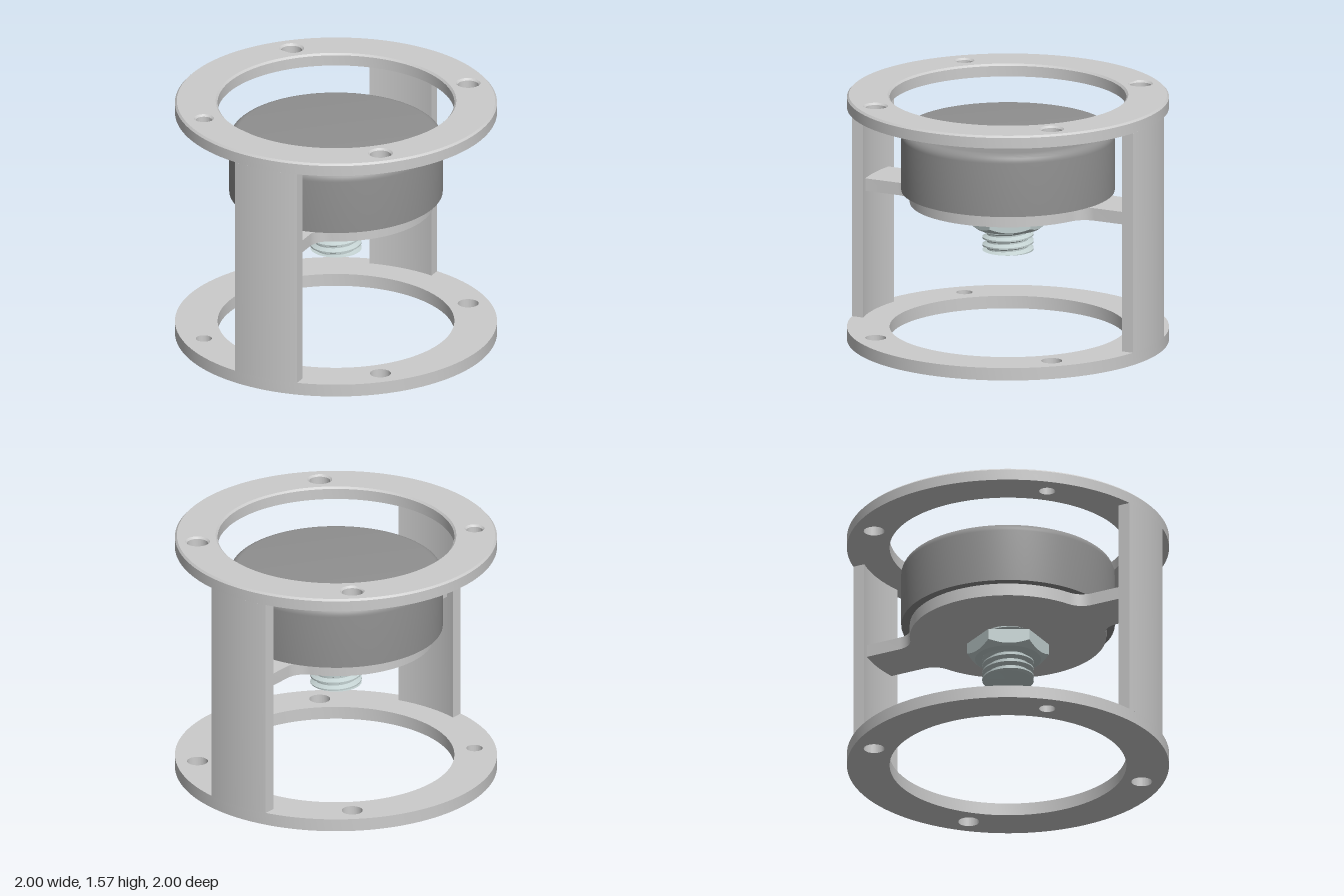
import * as THREE from 'three';
import { toCreasedNormals } from 'three/addons/utils/BufferGeometryUtils.js';

const grey = new THREE.MeshStandardMaterial({ color: 0xcccccc });
const darkGrey = new THREE.MeshStandardMaterial({ color: 0x909090 });
const steel = new THREE.MeshStandardMaterial({ color: 0xc4d2d2 });

const OUTER = 1, INNER = 0.735, HOLE_POS = 0.612;
// bolt holes in shape coordinates (shape y = -z); one is smaller
const HOLES = [[1, 1, 0.065], [-1, 1, 0.065], [1, -1, 0.065], [-1, -1, 0.05]]
  .map(([sx, sy, r]) => ({ x: sx * HOLE_POS, y: sy * HOLE_POS, r }));

function part(name, geometry, material, crease = 0.5) {
  const mesh = new THREE.Mesh(toCreasedNormals(geometry, crease), material);
  mesh.name = name;
  return mesh;
}

function circle(x, y, r) {
  return new THREE.Path().absarc(x, y, r, 0, Math.PI * 2, true);
}

// flange ring with bolt holes; chamfer breaks every upper edge
function ringGeometry(height, chamfer) {
  const shape = new THREE.Shape().absarc(0, 0, OUTER, 0, Math.PI * 2, false);
  shape.holes.push(circle(0, 0, INNER), ...HOLES.map(h => circle(h.x, h.y, h.r)));
  const geo = new THREE.ExtrudeGeometry(shape, { depth: height, steps: 2, bevelEnabled: false, curveSegments: 64 });
  const p = geo.attributes.position;
  for (let i = 0; i < p.count; i++) {
    const x = p.getX(i), y = p.getY(i), z = p.getZ(i), r = Math.hypot(x, y);
    if (Math.abs(z - height / 2) < 1e-4) p.setZ(i, height - (chamfer || height / 2));
    if (!chamfer || z < height - 1e-4) continue;
    const hole = HOLES.find(h => Math.hypot(x - h.x, y - h.y) < h.r + 0.005);
    if (hole) {
      const k = 1 + chamfer / hole.r;
      p.setXY(i, hole.x + (x - hole.x) * k, hole.y + (y - hole.y) * k);
    } else {
      const k = (r > 0.9 ? r - chamfer : r + chamfer) / r;
      p.setXY(i, x * k, y * k);
    }
  }
  return geo.rotateX(-Math.PI / 2);
}

// curved upright following the outer rim
function pillarGeometry(height) {
  const half = 0.215, inner = 0.925, mid = -Math.PI / 2;
  const a = Math.asin(half / OUTER), b = Math.asin(half / inner);
  const shape = new THREE.Shape();
  shape.absarc(0, 0, OUTER, mid - a, mid + a, false);
  shape.absarc(0, 0, inner, mid + b, mid - b, true);
  return new THREE.ExtrudeGeometry(shape, { depth: height, bevelEnabled: false, curveSegments: 16 })
    .rotateX(-Math.PI / 2);
}

// round plate with two filleted tabs reaching the uprights
function plateGeometry(height) {
  const R = 0.61, fillet = 0.13, tab = 0.16, cx = tab + fillet;
  const cy = Math.sqrt((R + fillet) ** 2 - cx * cx), phi = Math.atan2(cy, cx);
  const quarter = [];
  for (let i = 1; i <= 32; i++) {
    const t = phi * i / 32;
    quarter.push([R * Math.cos(t), R * Math.sin(t)]);
  }
  for (let i = 1; i <= 12; i++) {
    const t = phi + Math.PI - phi * i / 12;
    quarter.push([cx + fillet * Math.cos(t), cy + fillet * Math.sin(t)]);
  }
  quarter.push([tab, 0.93]);
  const half = [...quarter, ...quarter.slice().reverse().map(([x, y]) => [-x, y])];
  const all = [...half, ...half.map(([x, y]) => [-x, -y])];
  const shape = new THREE.Shape(all.map(([x, y]) => new THREE.Vector2(x, y)));
  return new THREE.ExtrudeGeometry(shape, { depth: height, bevelEnabled: false }).rotateX(-Math.PI / 2);
}

// solid of revolution from [radius, y] pairs listed bottom to top
function lathe(points, segments) {
  return new THREE.LatheGeometry(points.map(([r, y]) => new THREE.Vector2(r, y)), segments);
}

// threaded rod: a ridged lathe whose rows climb one pitch per turn
function threadGeometry(y0, y1) {
  const pitch = 0.047, root = 0.13, crest = 0.16, points = [[0, y0 - pitch * 2]];
  for (let y = y0 - pitch * 2; y < y1 + pitch; y += pitch) {
    points.push([root, y], [root, y + pitch * 0.2], [crest, y + pitch * 0.5], [crest, y + pitch * 0.7]);
  }
  const geo = lathe(points, 48), p = geo.attributes.position, rows = points.length;
  for (let i = 0; i < p.count; i++) {
    const turn = Math.floor(i / rows) / 48;
    p.setY(i, THREE.MathUtils.clamp(p.getY(i) + turn * pitch, y0, y1));
  }
  return geo;
}

// hex nut, corners on x, lower corners trimmed by a cone
function nutGeometry(y0, y1) {
  const flat = 0.22, base = 0.205;
  const geo = lathe([[0, y0], [base, y0], [1, y0], [1, y1], [0, y1]], 72);
  const p = geo.attributes.position;
  for (let i = 0; i < p.count; i++) {
    const x = p.getX(i), z = p.getZ(i);
    if (Math.hypot(x, z) < 0.9) continue;
    const t = Math.atan2(z, x), sector = Math.PI / 3;
    const local = t - (Math.floor(t / sector + 1e-6) + 0.5) * sector;
    const r = flat / Math.cos(local);
    p.setX(i, r * Math.cos(t));
    p.setZ(i, r * Math.sin(t));
    if (p.getY(i) < (y0 + y1) / 2) p.setY(i, y0 + (r - base) * 0.75);
  }
  return geo;
}

export function createModel() {
  const model = new THREE.Group();
  model.name = 'buttonHousing';

  // frame
  const bottomRing = part('bottomRing', ringGeometry(0.08, 0), grey);
  const topRing = part('topRing', ringGeometry(0.08, 0.012), grey);
  topRing.position.y = 1.49;
  model.add(bottomRing, topRing);
  for (const [name, angle] of [['frontPillar', 0], ['backPillar', Math.PI]]) {
    const pillar = part(name, pillarGeometry(1.41), grey);
    pillar.position.y = 0.08;
    pillar.rotation.y = angle;
    model.add(pillar);
  }
  const plate = part('mountingPlate', plateGeometry(0.08), grey);
  plate.position.y = 0.88;
  model.add(plate);

  // cap with rounded upper edge
  const capProfile = [[0, 0.96], [0.663, 0.96]];
  for (let i = 0; i <= 8; i++) {
    const t = i / 8 * Math.PI / 2;
    capProfile.push([0.608 + 0.055 * Math.cos(t), 1.302 + 0.055 * Math.sin(t)]);
  }
  capProfile.push([0, 1.357]);
  model.add(part('cap', lathe(capProfile, 96), darkGrey));

  // fastener below the plate
  model.add(part('threadedStud', threadGeometry(0.577, 0.9), steel, 0.4));
  model.add(part('hexNut', nutGeometry(0.725, 0.83), steel, 0.4));
  return model;
}
